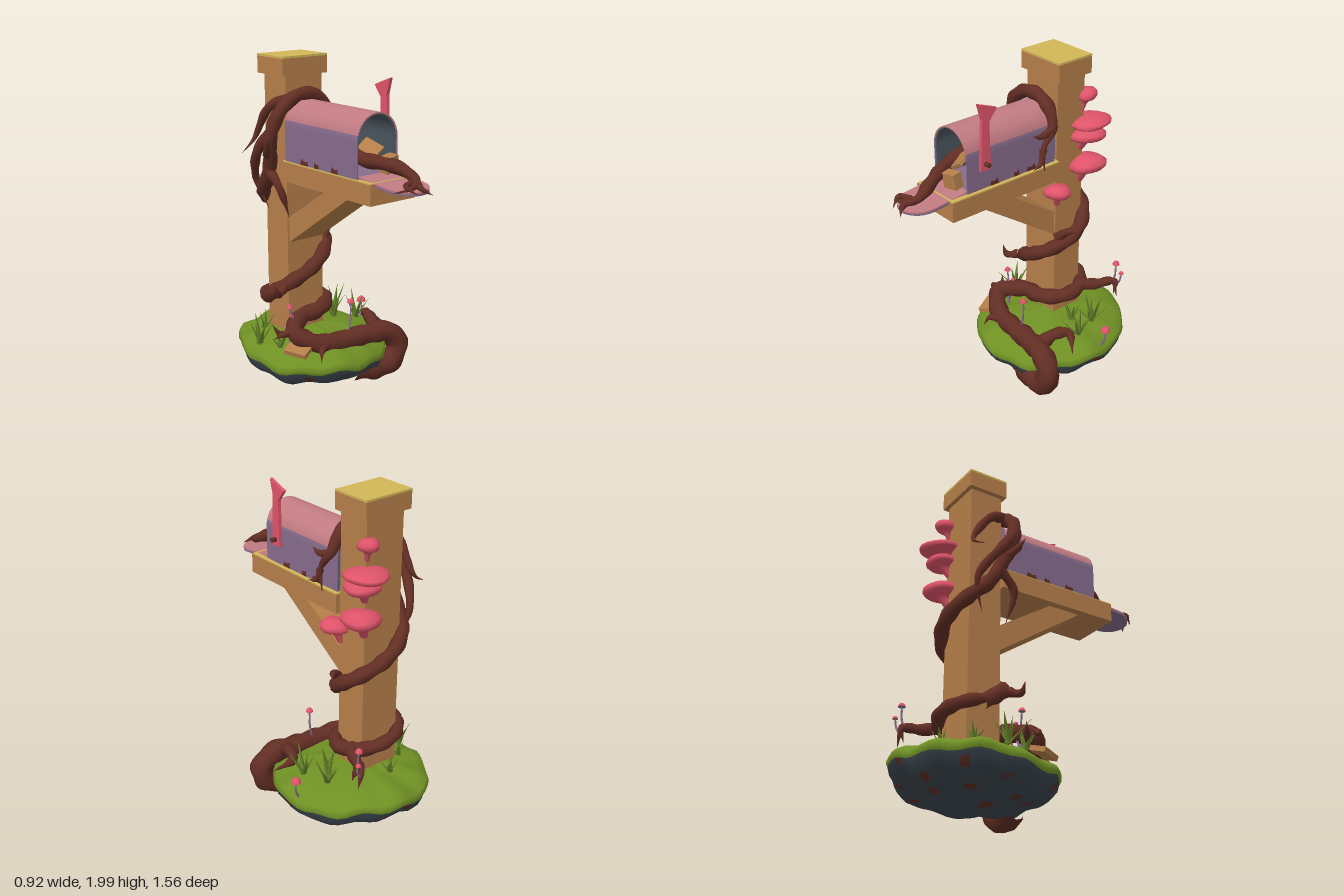
import * as THREE from 'three';

const mat = (name, color, double) => {
  const m = new THREE.MeshStandardMaterial({ color });
  m.name = name;
  if (double) m.side = THREE.DoubleSide;
  return m;
};
const lerp = THREE.MathUtils.lerp;

export function createModel() {
  const wood = mat('wood', 0xb67f4a), gold = mat('mossy wood top', 0xd2b758);
  const bark = mat('bark', 0x622e24), grass = mat('grass', 0x6f9024), blade = mat('grass blade', 0x66852a, true);
  const rock = mat('rock', 0x3c464e), pink = mat('faded pink', 0xc17b82), purple = mat('purple', 0x866c8c);
  const red = mat('mushroom red', 0xe0546a), slate = mat('dark lining', 0x4a555e);

  const model = new THREE.Group();
  const add = (name, geo, material, pos = [0, 0, 0], rot = [0, 0, 0], parent = model) => {
    const m = new THREE.Mesh(geo, material);
    m.name = name;
    m.position.set(...pos);
    m.rotation.set(...rot);
    parent.add(m);
  };
  // box given by its min and max corners
  const box = (name, a, b, material) => add(name,
    new THREE.BoxGeometry(b[0] - a[0], b[1] - a[1], b[2] - a[2]), material, a.map((v, i) => (v + b[i]) / 2));
  const vec2s = (pts) => pts.map((p) => new THREE.Vector2(...p));
  const extrude = (pts, depth) => new THREE.ExtrudeGeometry(new THREE.Shape(vec2s(pts)), { depth, bevelEnabled: false });
  const lathe = (pts, n) => new THREE.LatheGeometry(vec2s(pts), n);
  // outline of [z, y] points extruded from x0 to x1
  const sideCut = (name, pts, x0, x1, material) =>
    add(name, extrude(pts, x1 - x0).rotateY(-Math.PI / 2), material, [x1, 0, 0]);

  // Island: two warped lathes, grass above and rock below
  const warp = (geo, rough) => {
    const p = geo.attributes.position;
    for (let i = 0; i < p.count; i++) {
      const x = p.getX(i), z = p.getZ(i), a = Math.atan2(z, x), r = Math.hypot(x, z);
      const k = 1 + r * (0.02 * Math.sin(3 * a + 1) + 0.012 * Math.sin(8 * a));
      const dy = r * r * (0.014 * Math.sin(4 * a) + 0.012 * Math.sin(11 * a) - 0.026 * Math.sin(a))
        + rough * r * (1.2 - r) * Math.sin(9 * x + 1) * Math.cos(8 * z);
      p.setXYZ(i, -0.01 + x * 0.455 * k, Math.max(0.005, p.getY(i) + dy), -0.295 + z * 0.48 * k);
    }
    geo.computeVertexNormals();
    return geo;
  };
  add('grassTop', warp(lathe([[0.97, 0.185], [1, 0.21], [0.97, 0.24], [0.86, 0.272], [0.65, 0.306], [0.35, 0.332], [0, 0.338]], 56), 0.02), grass);
  const rockGeo = warp(lathe([[0, 0.02], [0.2, 0.022], [0.38, 0.035], [0.52, 0.055], [0.66, 0.075], [0.78, 0.1], [0.88, 0.122], [0.96, 0.16], [0.985, 0.205]], 56), 0.06);
  // Scattered earthy faces on the rock
  const lists = [[], []], ix = rockGeo.index.array, rp = rockGeo.attributes.position;
  for (let i = 0; i < ix.length; i += 6) {
    const x = rp.getX(ix[i]), z = rp.getZ(ix[i]);
    const earthy = Math.sin(23 * x + 5 * z + 2) * Math.sin(27 * z - 4 * x) > 0.82;
    lists[earthy ? 1 : 0].push(...ix.slice(i, i + 6));
  }
  rockGeo.setIndex([...lists[0], ...lists[1]]);
  rockGeo.addGroup(0, lists[0].length, 0);
  rockGeo.addGroup(lists[0].length, lists[1].length, 1);
  add('rockBase', rockGeo, [rock, bark]);

  // Post, cap, arm and brace
  box('post', [-0.212, 0.26, -0.465], [0.05, 1.9, -0.26], wood);
  box('postCap', [-0.243, 1.888, -0.49], [0.078, 1.988, -0.242], wood);
  box('postCapTop', [-0.243, 1.988, -0.49], [0.078, 2, -0.242], gold);
  box('arm', [-0.245, 1.28, -0.26], [0.08, 1.396, 0.52], wood);
  box('armTop', [-0.242, 1.396, -0.257], [0.077, 1.402, 0.517], gold);
  sideCut('brace', [[0.31, 1.285], [0.1, 1.285], [-0.27, 1.045], [-0.27, 0.89]], -0.2, 0.04, wood);
  add('loosePlank', new THREE.BoxGeometry(0.1, 0.03, 0.14), wood, [-0.31, 0.305, -0.04], [0.1, 0.45, 0.25]);

  // Mailbox: an arched shell in three strips, with a dark lining
  const cx = -0.09, cy = 1.607, floor = 1.402, R = 0.145, zBack = -0.24, len = 0.64, split = 0.23;
  const arc = (r, a0, a1, n, x = cx, y = cy) => Array.from({ length: n + 1 }, (_, i) => {
    const a = lerp(a0, a1, i / n);
    return [x + r * Math.cos(a), y + r * Math.sin(a)];
  });
  const arch = (r) => [[cx + r, floor], ...arc(r, 0, Math.PI, 24), [cx - r, floor]];
  const strip = (name, path, material, r = R, depth = len) =>
    add(name, extrude([...path(r), ...path(r - 0.007).reverse()], depth), material, [0, 0, zBack]);
  strip('mailboxTop', (r) => arc(r, split, Math.PI - split, 24), pink);
  strip('mailboxLeftWall', (r) => [[cx + r, floor], ...arc(r, 0, split, 4)], purple);
  strip('mailboxRightWall', (r) => [...arc(r, Math.PI - split, Math.PI, 4), [cx - r, floor]], purple);
  strip('mailboxLining', arch, slate, R - 0.007, len - 0.007);
  add('mailboxBack', extrude(arch(R - 0.002), 0.008), purple, [0, 0, zBack]);
  add('mailboxBackLining', extrude(arch(R - 0.01), 0.004), slate, [0, 0, zBack + 0.01]);
  box('mailboxFloor', [cx - R + 0.01, floor, zBack + 0.01], [cx + R - 0.01, floor + 0.01, 0.395], purple);

  // Open door with a rounded end, pink above and purple below
  const doorShape = [[-0.13, 0], [0.13, 0], ...arc(0.13, 0, Math.PI, 18, 0, 0.23)];
  const door = new THREE.Group();
  door.name = 'door';
  door.position.set(-0.083, 1.414, 0.385);
  door.rotation.x = 0.1;
  model.add(door);
  add('doorInside', extrude(doorShape, 0.008).rotateX(Math.PI / 2), pink, [0, 0, 0], [0, 0, 0], door);
  add('doorOutside', extrude(doorShape, 0.012).rotateX(Math.PI / 2), purple, [0, -0.008, 0], [0, 0, 0], door);

  // Worn patches along the lower walls
  for (const s of [1, -1]) for (const [z, w] of [[0.21, 0.06], [0.05, 0.04], [-0.06, 0.07]]) {
    const x = cx + s * (R + 0.001);
    sideCut('wornPatch', [[z - w / 2, 1.403], [z + w / 2, 1.403], [z + w * 0.4, 1.43], [z, 1.424], [z - w * 0.35, 1.437]], x - 0.002, x + 0.002, bark);
  }

  // Flag and pivot
  sideCut('flag', [[0.25, 1.52], [0.318, 1.52], [0.305, 1.82], [0.33, 1.915], [0.205, 1.868], [0.258, 1.8]], 0.056, 0.077, red);
  add('flagPivot', new THREE.CylinderGeometry(0.014, 0.014, 0.035, 10), bark, [0.09, 1.56, 0.285], [0, 0, Math.PI / 2]);

  // Parcels in the opening
  add('parcel', new THREE.BoxGeometry(0.09, 0.09, 0.06), wood, [-0.035, 1.47, 0.43], [0.1, 0.15, 0.1]);
  add('letter', new THREE.BoxGeometry(0.09, 0.02, 0.12), wood, [-0.08, 1.545, 0.33], [0.4, 0.3, 0.5]);

  // Knobbly tube from radius r0 to r1, closing to a point over the last part of its length
  const vine = (name, pts, r0, r1, tip = 0.1, material = bark) => {
    const curve = new THREE.CatmullRomCurve3(pts.map((p) => new THREE.Vector3(...p)));
    const n = pts.length * 6, sides = 10, geo = new THREE.TubeGeometry(curve, n, 1, sides);
    const p = geo.attributes.position, v = new THREE.Vector3();
    for (let i = 0; i <= n; i++) {
      const u = i / n, c = curve.getPointAt(u);
      const r = lerp(r0, r1, u) * Math.min(1, 0.06 + (1 - u) / tip);
      for (let j = 0; j <= sides; j++) {
        const id = i * (sides + 1) + j, knob = 1 + 0.09 * Math.sin(i * 0.9 + 4 * Math.PI * j / sides);
        v.fromBufferAttribute(p, id).sub(c).multiplyScalar(r * knob).add(c);
        p.setXYZ(id, v.x, v.y, v.z);
      }
    }
    add(name, geo, material);
  };
  // Points winding round the post, angles in degrees from its left side
  const coil = (a0, a1, y0, y1) => {
    const n = Math.ceil(Math.abs(a1 - a0) / 30);
    return Array.from({ length: n + 1 }, (_, i) => {
      const a = THREE.MathUtils.degToRad(lerp(a0, a1, i / n));
      return [-0.08 + 0.195 * Math.cos(a), lerp(y0, y1, i / n), -0.365 + 0.165 * Math.sin(a)];
    });
  };
  // Root and lower coil, then the climb over the mailbox, then the vine reaching out of its opening
  vine('root', [[0.06, 0.11, 0.02], [0.2, 0.085, 0.055], [0.32, 0.1, 0.07], [0.375, 0.2, 0.075], [0.31, 0.295, 0.06], [0.15, 0.305, 0.03],
    [-0.05, 0.305, 0.01], [-0.2, 0.325, -0.02], [-0.29, 0.39, -0.1], ...coil(110, -190, 0.43, 0.56)], 0.076, 0.034, 0.04);
  vine('climbingVine', [...coil(-165, -500, 0.53, 1.17), [-0.28, 1.27, -0.37], [-0.3, 1.4, -0.3], [-0.33, 1.56, -0.25],
    [-0.27, 1.71, -0.22], [-0.13, 1.785, -0.215], [0, 1.75, -0.215], [0.07, 1.63, -0.205], [0.08, 1.52, -0.13], [0.08, 1.38, -0.14]], 0.045, 0.038, 0.16);
  vine('mailboxVine', [[-0.17, 1.6, 0.05], [-0.16, 1.5, 0.36], [-0.12, 1.49, 0.46], [-0.07, 1.47, 0.56],
    [-0.05, 1.42, 0.66], [-0.13, 1.395, 0.71], [-0.22, 1.38, 0.68]], 0.045, 0.032, 0.35);

  // Side shoots: start, bend, tip
  const shoot = (r, ...pts) => vine('vineShoot', pts, r, r * 0.4, 0.4);
  shoot(0.024, [-0.05, 1.42, 0.66], [-0.08, 1.395, 0.73], [-0.04, 1.36, 0.78]);
  shoot(0.022, [-0.07, 1.41, 0.67], [-0.16, 1.41, 0.7], [-0.13, 1.37, 0.765]);
  shoot(0.045, [0.24, 0.32, 0.02], [0.27, 0.37, -0.07], [0.31, 0.36, -0.15], [0.41, 0.29, -0.09]);
  shoot(0.03, [-0.26, 0.38, -0.08], [-0.34, 0.4, -0.1], [-0.41, 0.36, -0.15]);
  shoot(0.03, [-0.25, 0.38, -0.14], [-0.34, 0.37, -0.17], [-0.38, 0.43, -0.2]);
  shoot(0.03, [-0.1, 0.3, 0], [-0.2, 0.3, 0.05], [-0.23, 0.24, 0.08]);
  shoot(0.042, [0.1, 0.5, -0.42], [0.15, 0.48, -0.53], [0.2, 0.48, -0.63], [0.23, 0.38, -0.64]);
  shoot(0.024, [0.18, 0.49, -0.58], [0.23, 0.5, -0.62], [0.24, 0.42, -0.6]);
  shoot(0.034, [0.06, 0.88, -0.27], [0.13, 0.94, -0.3], [0.17, 0.93, -0.34]);
  shoot(0.03, [-0.26, 0.63, -0.24], [-0.33, 0.61, -0.2], [-0.36, 0.67, -0.19]);
  shoot(0.036, [-0.33, 1.58, -0.25], [-0.36, 1.46, -0.34], [-0.29, 1.26, -0.46], [-0.24, 1.08, -0.4]);
  shoot(0.03, [-0.31, 1.42, -0.3], [-0.36, 1.47, -0.25], [-0.385, 1.55, -0.2]);
  shoot(0.03, [-0.3, 1.35, -0.32], [-0.29, 1.24, -0.22], [-0.22, 1.06, -0.23]);
  shoot(0.026, [0.07, 1.62, -0.2], [0.08, 1.6, -0.11], [0.075, 1.62, -0.05]);
  shoot(0.022, [0.08, 1.52, -0.13], [0.09, 1.44, -0.1], [0.1, 1.42, -0.04]);
  shoot(0.034, [-0.2, 1.77, -0.22], [-0.26, 1.7, -0.36], [-0.28, 1.5, -0.49], [-0.38, 1.43, -0.47]);

  // Trumpet-shaped mushrooms on the post, leaning from base to cap
  const mushroom = (base, top, r) => {
    const geo = lathe([[0, 0], [0.18, 0.01], [0.27, 0.3], [0.45, 0.47], [0.9, 0.56], [1, 0.68], [0.93, 0.82], [0.6, 0.96], [0, 1]], 20);
    const p = geo.attributes.position;
    for (let i = 0; i < p.count; i++) {
      const t = p.getY(i), a = Math.atan2(p.getZ(i), p.getX(i)), k = r * (1 + 0.06 * Math.sin(3 * a + r * 90));
      p.setXYZ(i, lerp(base[0], top[0], t) + p.getX(i) * k, lerp(base[1], top[1], t), lerp(base[2], top[2], t) + p.getZ(i) * k);
    }
    geo.computeVertexNormals();
    add('postMushroom', geo, red);
  };
  mushroom([0.04, 1.65, -0.46], [0.055, 1.79, -0.495], 0.062);
  mushroom([0.04, 1.5, -0.46], [0.08, 1.625, -0.51], 0.128);
  mushroom([0.04, 1.41, -0.45], [0.1, 1.56, -0.48], 0.105);
  mushroom([0.04, 1.2, -0.45], [0.1, 1.38, -0.48], 0.115);
  mushroom([0.05, 1.1, -0.27], [0.09, 1.25, -0.24], 0.083);

  // Small toadstools: foot, head, cap radius
  const toadstool = (a, b, r) => {
    vine('toadstoolStem', [a, [(a[0] + b[0]) / 2 + 0.012, (a[1] + b[1]) / 2, (a[2] + b[2]) / 2], b], 0.007, 0.005, 0.05, purple);
    add('toadstoolCap', lathe([[1, -0.15], [0.85, 0.45], [0.45, 0.85], [0, 1]], 12).scale(r, r, r), red, b);
    add('toadstoolGills', lathe([[0, 0], [1, -0.15]], 12).scale(r, r, r), purple, b);
  };
  toadstool([-0.25, 0.3, -0.14], [-0.28, 0.53, -0.16], 0.02);
  toadstool([-0.28, 0.3, -0.17], [-0.25, 0.46, -0.18], 0.014);
  toadstool([0.03, 0.3, 0], [0.06, 0.53, 0], 0.022);
  toadstool([0.2, 0.47, -0.62], [0.22, 0.62, -0.63], 0.022);
  toadstool([0.22, 0.46, -0.64], [0.245, 0.55, -0.655], 0.016);
  toadstool([0.41, 0.24, -0.33], [0.435, 0.36, -0.34], 0.03);

  // Grass tufts: flattened cones fanned round a point
  const tuft = (x, z, h, n) => {
    for (let i = 0; i < n; i++) {
      const hh = h * (0.7 + 0.4 * ((i * 37 + n * 11) % 10) / 10);
      const geo = new THREE.ConeGeometry(0.02, hh, 4).translate(0, hh / 2, 0).scale(1, 1, 0.35);
      geo.rotateX(0.25 + 0.15 * ((i * 3 + n) % 4)).rotateY(i / n * Math.PI * 2 + 9 * x);
      add('grassBlade', geo, blade, [x, 0.33 - 0.35 * Math.hypot(x, z + 0.3) ** 2, z]);
    }
  };
  tuft(-0.39, -0.32, 0.21, 6);
  tuft(-0.34, -0.18, 0.15, 4);
  tuft(0.25, -0.4, 0.2, 7);
  tuft(0.3, -0.24, 0.21, 6);
  tuft(0.17, -0.3, 0.15, 4);
  tuft(-0.1, -0.55, 0.12, 4);
  tuft(-0.26, -0.45, 0.14, 4);

  return model;
}
